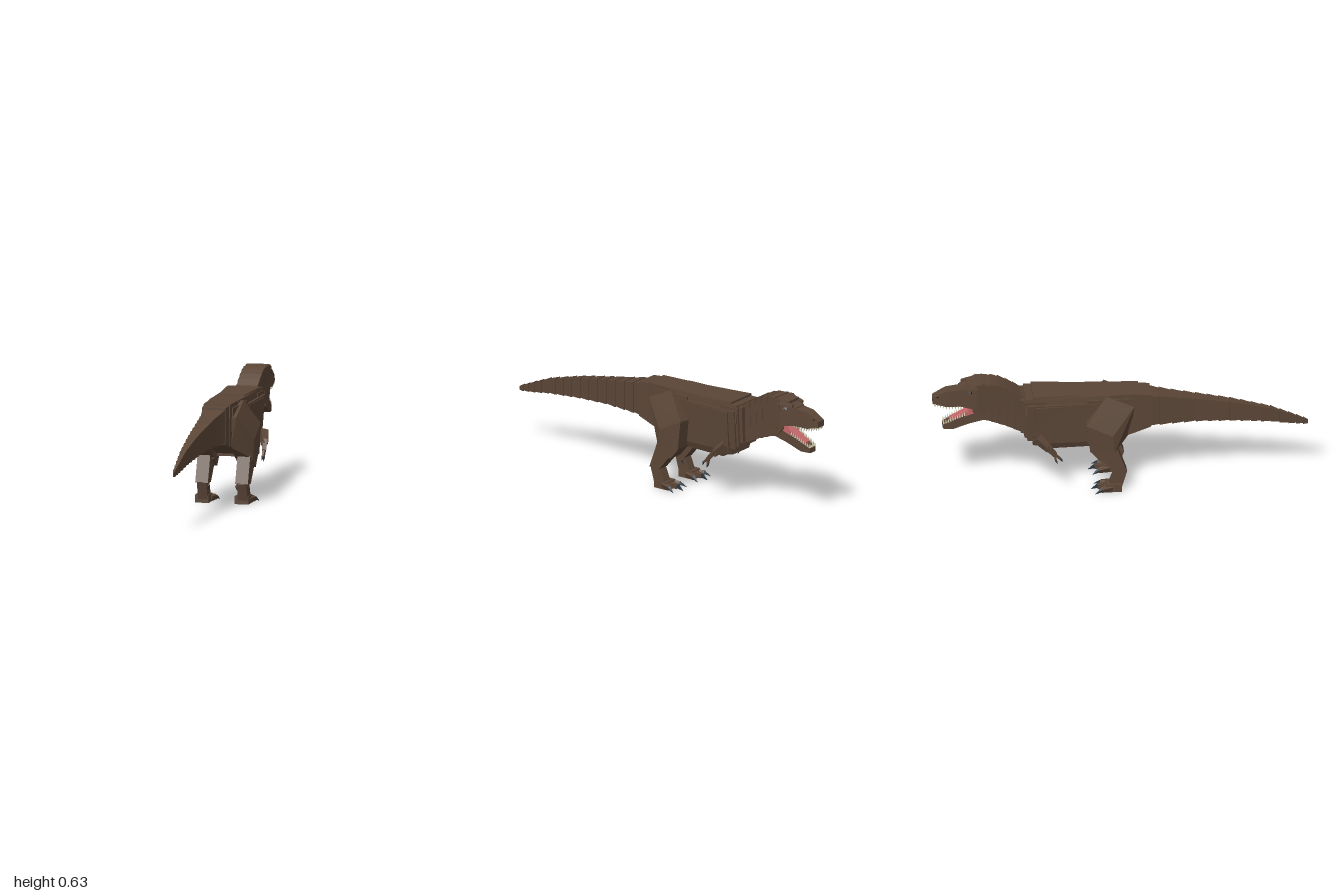
import * as THREE from 'three';
import { ConvexGeometry } from 'three/addons/geometries/ConvexGeometry.js';

const material = (name, color) => {
  const m = new THREE.MeshStandardMaterial({ color });
  m.name = name;
  return m;
};

export function createModel() {
  const hide = material('brown hide', 0x5b4637);
  const claw = material('dark claw', 0x2a3842);
  const tooth = material('tooth ivory', 0xd2cfb0);
  const gum = material('mouth pink', 0xc4676a);
  const black = material('eye black', 0x14110f);

  const model = new THREE.Group();
  model.name = 'dinosaur';
  const group = (name) => {
    const g = new THREE.Group();
    g.name = name;
    model.add(g);
    return g;
  };
  const add = (parent, name, geometry, mat = hide) => {
    const mesh = new THREE.Mesh(geometry, mat);
    mesh.name = name;
    parent.add(mesh);
    return mesh;
  };

  // Tapered block between two sections [z, top, bottom, half width at top, at bottom]
  const slab = (parent, name, rear, front, mat = hide) => {
    const g = new THREE.BoxGeometry(1, 1, 1);
    const p = g.attributes.position;
    for (let i = 0; i < p.count; i++) {
      const s = p.getZ(i) > 0 ? rear : front;
      const up = p.getY(i) > 0;
      p.setXYZ(i, Math.sign(p.getX(i)) * (up ? s[3] : s[4]), up ? s[1] : s[2], s[0]);
    }
    g.computeVertexNormals();
    return add(parent, name, g, mat);
  };

  // Side outline [z, y] given thickness across x
  const sidePlate = (parent, name, x, width, outline, mat = hide) => {
    const shape = new THREE.Shape(outline.map(([z, y]) => new THREE.Vector2(z, y)));
    const g = new THREE.ExtrudeGeometry(shape, { depth: width, bevelEnabled: false });
    g.rotateY(-Math.PI / 2).translate(x + width / 2, 0, 0);
    return add(parent, name, g, mat);
  };

  // Square bar or spike between two points
  const bar = (parent, name, a, b, r0, r1, mat = hide) => {
    const from = new THREE.Vector3(...a), to = new THREE.Vector3(...b);
    const dir = to.clone().sub(from);
    const g = new THREE.CylinderGeometry(r1, r0, dir.length(), 4).toNonIndexed();
    g.rotateY(Math.PI / 4);
    g.computeVertexNormals();
    const mesh = add(parent, name, g, mat);
    mesh.position.copy(from).add(to).multiplyScalar(0.5);
    mesh.quaternion.setFromUnitVectors(new THREE.Vector3(0, 1, 0), dir.normalize());
    return mesh;
  };

  // Tail: overlapping tapered blocks with a small step at each joint
  const tail = group('tail');
  const stations = [
    [0.14, 0.528, 0.352, 0.06], [0.26, 0.507, 0.352, 0.044], [0.4, 0.485, 0.355, 0.034],
    [0.6, 0.45, 0.345, 0.023], [0.8, 0.4, 0.325, 0.013], [0.9, 0.36, 0.308, 0.008], [1, 0.318, 0.296, 0.002],
  ];
  const tailAt = (z, grow) => {
    let i = 0;
    while (i < stations.length - 2 && z > stations[i + 1][0]) i++;
    const a = stations[i], b = stations[i + 1];
    const [, top, bottom, w] = a.map((v, k) => THREE.MathUtils.lerp(v, b[k], (z - a[0]) / (b[0] - a[0])));
    return [z, top + grow, bottom - grow, w + grow, w + grow];
  };
  const joints = 16;
  for (let i = 0; i < joints; i++) {
    const at = (k) => 0.14 + 0.86 * (1 - Math.pow(1 - k / joints, 1.25));
    slab(tail, 'tailSegment', tailAt(at(i + 1), 0), tailAt(at(i), 0.004));
  }

  // Torso: nested blocks that step in toward hips, belly and neck
  const torso = group('torso');
  slab(torso, 'rump', [0.16, 0.538, 0.345, 0.065, 0.065], [0.06, 0.545, 0.31, 0.07, 0.07]);
  slab(torso, 'hips', [0.1, 0.548, 0.325, 0.072, 0.07], [-0.14, 0.55, 0.24, 0.08, 0.075]);
  slab(torso, 'pelvis', [0.06, 0.525, 0.32, 0.08, 0.075], [-0.18, 0.53, 0.26, 0.095, 0.08]);
  slab(torso, 'ribcage', [-0.1, 0.51, 0.275, 0.095, 0.085], [-0.5, 0.515, 0.3, 0.108, 0.09]);
  slab(torso, 'ribPanel', [-0.2, 0.505, 0.28, 0.1, 0.09], [-0.46, 0.505, 0.285, 0.114, 0.1]);
  slab(torso, 'back', [-0.06, 0.55, 0.45, 0.08, 0.09], [-0.51, 0.548, 0.45, 0.09, 0.1]);
  slab(torso, 'backPlate', [-0.2, 0.555, 0.52, 0.07, 0.08], [-0.47, 0.56, 0.52, 0.09, 0.09]);
  slab(torso, 'belly', [-0.1, 0.3, 0.24, 0.085, 0.06], [-0.4, 0.3, 0.235, 0.09, 0.065]);
  slab(torso, 'breast', [-0.36, 0.33, 0.238, 0.095, 0.065], [-0.47, 0.33, 0.262, 0.095, 0.07]);
  slab(torso, 'chestStep', [-0.4, 0.535, 0.28, 0.095, 0.085], [-0.515, 0.535, 0.315, 0.095, 0.08]);
  slab(torso, 'chestStep', [-0.4, 0.54, 0.3, 0.082, 0.075], [-0.535, 0.54, 0.34, 0.082, 0.07]);

  // Neck: rising overlapping blocks
  const neck = group('neck');
  const rings = [
    [-0.48, 0.53, 0.31], [-0.53, 0.552, 0.335], [-0.57, 0.578, 0.355], [-0.61, 0.602, 0.375],
    [-0.65, 0.62, 0.39], [-0.69, 0.629, 0.405], [-0.74, 0.632, 0.42],
  ];
  for (let i = 0; i < rings.length - 1; i++) {
    const [z0, t0, b0] = rings[i], [z1, t1, b1] = rings[i + 1];
    slab(neck, 'neckSegment', [z0, t0, b0, 0.056, 0.05], [z1, t1 + 0.003, b1 - 0.003, 0.06, 0.05]);
  }

  // Head: skull, cheeks, brow and narrow snout
  const head = group('head');
  slab(head, 'skullBack', [-0.69, 0.628, 0.43, 0.058, 0.054], [-0.77, 0.632, 0.48, 0.066, 0.06]);
  slab(head, 'skull', [-0.77, 0.632, 0.48, 0.062, 0.062], [-0.86, 0.595, 0.495, 0.036, 0.036]);
  slab(head, 'crown', [-0.7, 0.632, 0.6, 0.045, 0.05], [-0.82, 0.626, 0.59, 0.045, 0.05]);
  slab(head, 'snout', [-0.85, 0.592, 0.493, 0.034, 0.038], [-0.93, 0.582, 0.492, 0.03, 0.034]);
  slab(head, 'snoutTip', [-0.93, 0.582, 0.492, 0.03, 0.034], [-1, 0.542, 0.51, 0.026, 0.028]);
  slab(head, 'palate', [-0.77, 0.492, 0.484, 0.036, 0.036], [-0.9, 0.496, 0.489, 0.028, 0.028], gum);
  for (const s of [-1, 1]) {
    bar(head, 'brow', [s * 0.054, 0.615, -0.76], [s * 0.042, 0.605, -0.845], 0.016, 0.011);
    bar(head, 'eye', [s * 0.057, 0.585, -0.795], [s * 0.049, 0.583, -0.812], 0.009, 0.009, black);
    bar(head, 'nostril', [s * 0.027, 0.55, -0.968], [s * 0.0265, 0.548, -0.978], 0.004, 0.004, black);
    sidePlate(head, 'jawMuscle', s * 0.05, 0.012,
      [[-0.7, 0.53], [-0.7, 0.42], [-0.75, 0.425], [-0.79, 0.47], [-0.775, 0.53]]);
    sidePlate(head, 'mouthCorner', s * 0.041, 0.008, [[-0.76, 0.5], [-0.76, 0.46], [-0.83, 0.437], [-0.8, 0.495]], gum);
  }

  // Lower jaw hanging open, with tongue
  slab(head, 'jawBase', [-0.72, 0.495, 0.415, 0.046, 0.046], [-0.8, 0.455, 0.392, 0.042, 0.04]);
  slab(head, 'jaw', [-0.8, 0.455, 0.392, 0.042, 0.04], [-0.89, 0.408, 0.356, 0.034, 0.032]);
  slab(head, 'chin', [-0.89, 0.408, 0.356, 0.034, 0.032], [-0.945, 0.382, 0.355, 0.024, 0.024]);
  slab(head, 'tongue', [-0.75, 0.49, 0.45, 0.03, 0.03], [-0.91, 0.407, 0.38, 0.02, 0.02], gum);

  // Teeth along both jaws and across the front
  const teeth = group('teeth');
  for (let i = 0; i < 10; i++) {
    const t = i / 9;
    for (const s of [-1, 1]) {
      const ux = s * (0.034 - 0.008 * t), uz = -0.85 - 0.14 * t;
      const uy = uz > -0.93 ? 0.494 : 0.494 + (-0.93 - uz) * 0.25;
      bar(teeth, 'upperTooth', [ux, uy, uz], [ux, uy - 0.02, uz + 0.004], 0.006, 0.0005, tooth);
      const lx = s * (0.037 - 0.014 * t), lz = -0.83 - 0.11 * t, ly = 0.438 - 0.054 * t;
      bar(teeth, 'lowerTooth', [lx, ly, lz], [lx, ly + 0.021, lz - 0.002], 0.006, 0.0005, tooth);
    }
  }
  for (let i = -1; i <= 1; i++) {
    bar(teeth, 'upperTooth', [i * 0.013, 0.511, -0.993], [i * 0.013, 0.49, -0.99], 0.006, 0.0005, tooth);
    bar(teeth, 'lowerTooth', [i * 0.012, 0.382, -0.94], [i * 0.012, 0.404, -0.942], 0.006, 0.0005, tooth);
  }

  for (const s of [-1, 1]) {
    const side = s > 0 ? 'left' : 'right';
    const shift = s > 0 ? 0 : 0.013; // one leg stands a little further in

    // Leg: angular thigh, shin, ankle
    const leg = group(side + 'Leg');
    const thigh = [
      [0.1, 0.548, -0.08], [0.1, 0.48, 0.07], [0.165, 0.41, -0.19], [0.165, 0.34, -0.05],
      [0.163, 0.25, -0.17], [0.163, 0.24, -0.04], [0.065, 0.54, -0.08], [0.065, 0.47, 0.07],
      [0.065, 0.4, -0.19], [0.065, 0.31, 0.05], [0.065, 0.25, -0.17], [0.065, 0.24, -0.04],
    ].map(([x, y, z]) => new THREE.Vector3(s * (x - shift), y, z));
    add(leg, 'thigh', new ConvexGeometry(thigh));
    sidePlate(leg, 'knee', s * (0.112 - shift), 0.09, [[-0.05, 0.27], [-0.05, 0.23], [-0.115, 0.185], [-0.17, 0.25], [-0.16, 0.28]]);
    sidePlate(leg, 'shin', s * (0.116 - shift), 0.07, [[-0.03, 0.272], [0.027, 0.112], [-0.036, 0.108], [-0.125, 0.215], [-0.13, 0.272]]);
    sidePlate(leg, 'ankle', s * (0.116 - shift), 0.052, [[0.027, 0.115], [0.0, 0.02], [-0.07, 0.02], [-0.062, 0.05], [-0.036, 0.115]]);

    // Foot with three splayed toes and a dewclaw
    const foot = group(side + 'Foot');
    sidePlate(foot, 'sole', s * 0.109, 0.075, [[0.0, 0], [0.0, 0.043], [-0.085, 0.043], [-0.095, 0]]);
    for (const k of [-1, 0, 1]) {
      const x = s * 0.107, out = s * k;
      const reach = k === 0 ? -0.13 : -0.11;
      bar(foot, 'toe', [x + out * 0.026, 0.022, -0.055], [x + out * 0.046, 0.02, reach], 0.023, 0.016);
      bar(foot, 'toeClaw', [x + out * 0.046, 0.022, reach + 0.004], [x + out * 0.06, 0.003, reach - 0.034], 0.013, 0.001, claw);
    }
    bar(foot, 'dewToe', [s * 0.1, 0.09, 0], [s * 0.077, 0.093, -0.018], 0.014, 0.011);
    bar(foot, 'dewClaw', [s * 0.079, 0.093, -0.016], [s * 0.08, 0.063, -0.035], 0.009, 0.001, claw);

    // Small arm with two clawed fingers
    const arm = group(side + 'Arm');
    bar(arm, 'upperArm', [s * 0.11, 0.325, -0.45], [s * 0.134, 0.265, -0.385], 0.03, 0.021);
    bar(arm, 'forearm', [s * 0.132, 0.285, -0.4], [s * 0.139, 0.235, -0.355], 0.02, 0.015);
    for (const [y, z] of [[0.207, -0.325], [0.198, -0.352]]) {
      bar(arm, 'finger', [s * 0.139, 0.24, -0.358], [s * 0.139, y, z], 0.009, 0.007);
      bar(arm, 'fingerClaw', [s * 0.139, y + 0.002, z], [s * 0.137, y - 0.018, z + 0.008], 0.007, 0.001, claw);
    }
  }

  return model;
}
